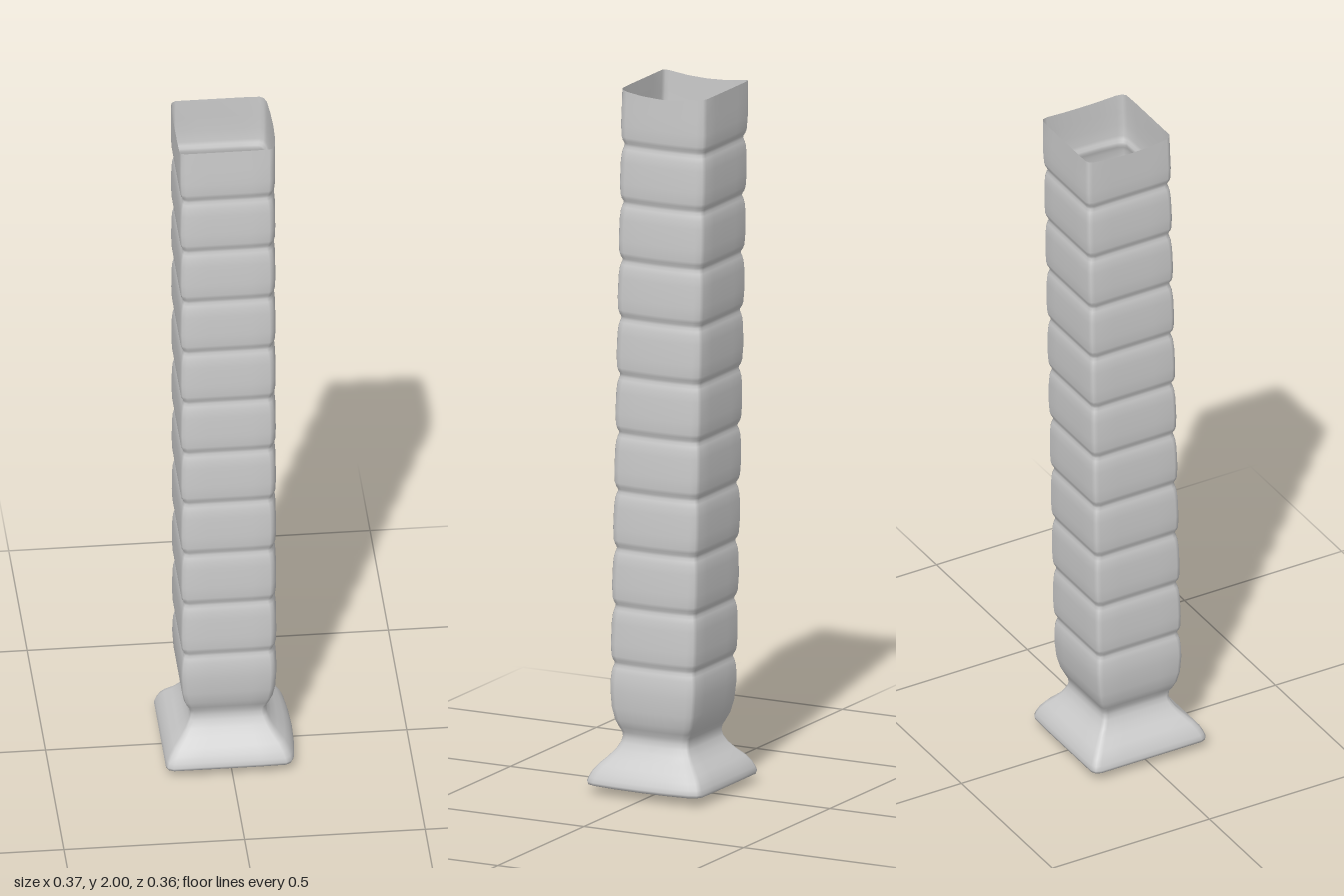
import * as THREE from 'three';

// Unit cross-section (x, z): tight corners on the -x side, softer corners and a bowed face on +x
const backHalf = [
  [-1, 0], [-1, -0.45], [-1, -0.88], [-0.97, -0.96], [-0.89, -1], [-0.45, -1], [0, -1], [0.45, -1],
  [0.82, -0.99], [0.9, -0.94], [0.95, -0.82], [0.985, -0.45], [1, 0],
];
const section = [
  ...backHalf,
  ...backHalf.slice(1, -1).reverse().map(([x, z]) => [x, -z]),
];

// Rings as [height, half width, half depth], from the hole in the floor upwards
function profile() {
  const rings = [
    // floor with dipped hole
    [0.0, 0.048, 0.058], [0.004, 0.056, 0.064], [0.012, 0.066, 0.073], [0.019, 0.08, 0.086],
    [0.021, 0.12, 0.12], [0.022, 0.172, 0.172],
    // flared foot
    [0.025, 0.181, 0.18], [0.033, 0.183, 0.182], [0.045, 0.179, 0.178], [0.062, 0.171, 0.17],
    [0.08, 0.158, 0.156], [0.1, 0.138, 0.136], [0.12, 0.122, 0.119], [0.14, 0.112, 0.108],
    [0.155, 0.108, 0.105], [0.17, 0.11, 0.107],
    // swelling above the neck
    [0.185, 0.118, 0.114], [0.205, 0.126, 0.123], [0.24, 0.133, 0.131], [0.29, 0.136, 0.135],
  ];
  // ten evenly spaced grooves between softly bulging blocks
  const first = 0.362, step = 0.164;
  const groove = [[-0.045, 0.135], [-0.022, 0.133], [-0.009, 0.13], [0, 0.127], [0.008, 0.128],
    [0.016, 0.132], [0.026, 0.1345], [0.06, 0.136]];
  for (let i = 0; i < 10; i++) {
    for (const [dy, h] of groove) rings.push([first + i * step + dy, h, h]);
  }
  rings.push([1.94, 0.136, 0.135], [2.0, 0.136, 0.134]);
  return rings;
}

function loft(rings) {
  const n = section.length, pos = [], index = [];
  for (const [y, hx, hz] of rings) {
    const lean = -0.0215 * y; // the shaft drifts gently backwards
    const sag = y > 1.95 ? 0.012 : 0; // rim dips along both sides
    for (const [x, z] of section) {
      pos.push(x * hx - 0.001, y - sag * (1 - z * z), z * hz + lean);
    }
  }
  for (let i = 0; i < rings.length - 1; i++) {
    for (let j = 0; j < n; j++) {
      const a = i * n + j, b = i * n + (j + 1) % n, c = a + n, d = b + n;
      index.push(a, c, b, b, c, d);
    }
  }
  const geo = new THREE.BufferGeometry();
  geo.setAttribute('position', new THREE.Float32BufferAttribute(pos, 3));
  geo.setIndex(index);
  geo.computeVertexNormals();
  return geo;
}

export function createModel() {
  const group = new THREE.Group();
  group.name = 'segmentedSquareTube';
  const material = new THREE.MeshStandardMaterial({ color: 0xcccccc, side: THREE.DoubleSide });
  const tube = new THREE.Mesh(loft(profile()), material);
  tube.name = 'groovedShaftWithFoot';
  group.add(tube);
  return group;
}
